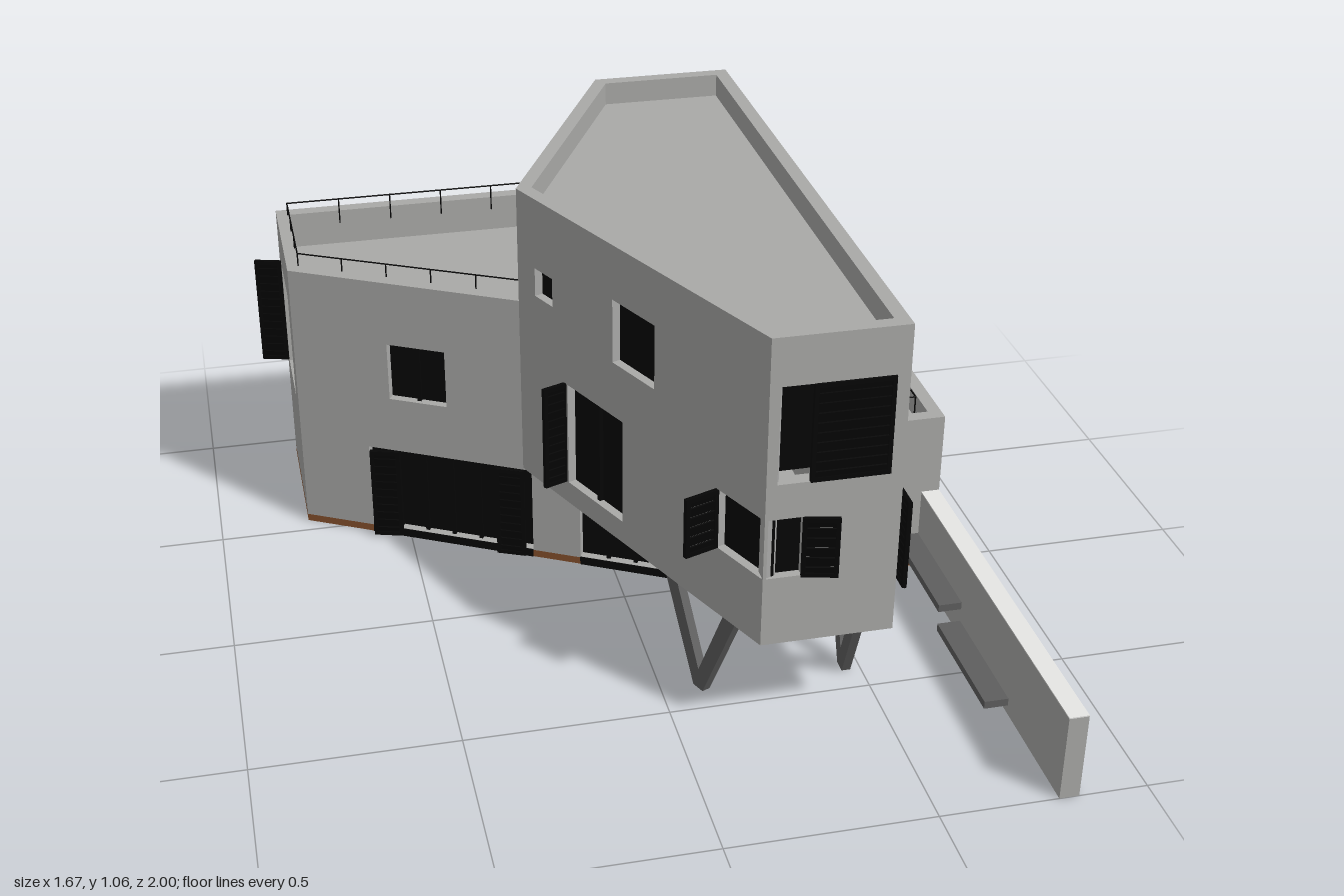
import * as THREE from 'three';

const mat = (name, color) => {
  const m = new THREE.MeshStandardMaterial({ color });
  m.name = name;
  return m;
};

export function createModel() {
  const root = new THREE.Group();
  root.name = 'house';
  const concrete = mat('concrete', 0xa9a9a7);
  const pale = mat('pale concrete', 0xe6e6e4);
  const steel = mat('grey steel', 0x5e5e5e);
  const black = mat('black', 0x050505);
  const brown = mat('brown floor', 0x85502c);
  const timber = mat('timber door', 0xa0592c);
  const T = 0.035; // wall thickness

  const add = (parent, name, geo, material, x = 0, y = 0, z = 0) => {
    const m = new THREE.Mesh(geo, material);
    m.name = name;
    m.position.set(x, y, z);
    parent.add(m);
    return m;
  };
  const box = (parent, name, material, w, h, d, x, y, z) =>
    add(parent, name, new THREE.BoxGeometry(w, h, d), material, x, y, z);
  const vecs = pts => pts.map(p => new THREE.Vector2(...p));

  // group whose local x runs from plan point a to b and local +z faces outward
  const along = (name, a, b) => {
    const g = new THREE.Group();
    g.name = name;
    g.position.set(a[0], 0, a[1]);
    g.rotation.y = Math.atan2(a[1] - b[1], b[0] - a[0]);
    root.add(g);
    return [g, Math.hypot(b[0] - a[0], b[1] - a[1])];
  };

  // straight wall with recessed openings [u0, u1, y0, y1, material, mullions, recess]
  const wall = (name, a, b, y0, y1, openings = []) => {
    const [g, len] = along(name, a, b);
    const s = new THREE.Shape(vecs([[0, y0], [len, y0], [len, y1], [0, y1]]));
    for (const [u0, u1, v0, v1, m = black, bars = 0, recess = 0.026] of openings) {
      s.holes.push(new THREE.Path(vecs([[u0, v0], [u0, v1], [u1, v1], [u1, v0]])));
      const w = u1 - u0, h = v1 - v0, uc = (u0 + u1) / 2, vc = (v0 + v1) / 2;
      box(g, 'pane', m, w + 0.01, h + 0.01, 0.008, uc, vc, -recess);
      for (let i = 1; i <= bars; i++)
        box(g, 'mullion', black, 0.01, h, 0.012, u0 + w * i / (bars + 1), vc, 0.009 - recess);
      // dark threshold across the floor edge under tall doors
      if (v0 < 0.03 && m === black) box(g, 'threshold', black, w, 0.022, 0.012, uc, 0.0115, -0.003);
    }
    add(g, name + 'Panel', new THREE.ExtrudeGeometry(s, { depth: T, bevelEnabled: false }), concrete, 0, 0, -T);
  };

  // horizontal slab from a plan outline
  const slab = (name, pts, y0, y1, material) => {
    const s = new THREE.Shape(vecs(pts.map(([x, z]) => [x, -z])));
    const geo = new THREE.ExtrudeGeometry(s, { depth: y1 - y0, bevelEnabled: false });
    add(root, name, geo.rotateX(-Math.PI / 2), material, 0, y0, 0);
  };

  // closed louvred shutter standing between two plan points
  const shutter = (name, a, b, y0, y1) => {
    const [g, len] = along(name, a, b);
    const h = y1 - y0, n = Math.round(h / 0.024);
    for (const u of [0.005, len - 0.005]) box(g, 'stile', black, 0.01, h, 0.012, u, y0 + h / 2, 0);
    for (const y of [y0 + 0.005, y1 - 0.005]) box(g, 'rail', black, len, 0.01, 0.012, len / 2, y, 0);
    for (let i = 0; i < n; i++)
      box(g, 'louvre', black, len, 0.026, 0.004, len / 2, y0 + h * (i + 0.5) / n, 0).rotation.x = 0.2;
  };

  // round bar between two points
  const bar = (name, a, b, r, material) => {
    const p = new THREE.Vector3(...a), q = new THREE.Vector3(...b), d = q.clone().sub(p);
    const m = add(root, name, new THREE.CylinderGeometry(r, r, d.length(), 6), material);
    m.position.copy(p.add(q).multiplyScalar(0.5));
    m.quaternion.setFromUnitVectors(new THREE.Vector3(0, 1, 0), d.normalize());
  };

  // plan corners
  const NW = [-0.765, -0.935], NE = [0.834, -0.935], SW = [-0.765, -0.55], SE = [0.834, 0.02];
  const tip = [-0.215, -0.25], towerNW = [0.125, -0.935], towerNE = [0.492, -0.935];
  const towerSE = [0.492, 0.645], towerSW = [0.175, 0.645], patio = [0.28, 0.02];

  // floors, terraces and roof
  slab('groundFloor', [NW, [0.8, -0.935], [0.8, 0.02], patio, SW], 0, 0.02, brown);
  slab('towerSoffit', [tip, towerSW, towerSE, towerNE, towerNW], 0.27, 0.29, concrete);
  slab('towerRoof', [[-0.211, -0.25], [0.178, 0.64], [0.486, 0.64], [0.486, -0.93], [0.128, -0.93]], 0.98, 1.0, concrete);
  slab('leftTerrace', [[-0.76, -0.93], [0.12, -0.92], [-0.215, -0.26], [-0.76, -0.555]], 0.64, 0.66, concrete);
  slab('rightTerrace', [[0.48, -0.93], [0.827, -0.93], [0.827, 0.015], [0.48, 0.015]], 0.36, 0.38, concrete);

  // ground storey
  wall('backWall', NE, NW, 0.02, 0.3, [
    [0.14, 0.21, 0.19, 0.275], [0.27, 0.38, 0.023, 0.27, timber],
    [0.59, 0.82, 0.023, 0.265, black, 3], [1.08, 1.405, 0.023, 0.265, black, 3]]);
  wall('frontGroundWall', SW, patio, 0.02, 0.267, [
    [0.194, 0.649, 0.023, 0.265, black, 5], [0.78, 1.15, 0.023, 0.265, black, 4]]);
  wall('patioWall', patio, SE, 0.02, 0.27, [
    [0.122, 0.335, 0.023, 0.265, black, 2], [0.34, 0.4, 0.19, 0.265]]);

  // left wing
  wall('leftWall', NW, SW, 0.02, 0.756, [[0.065, 0.275, 0.33, 0.63, black, 0, 0.07]]);
  wall('leftFrontWall', SW, tip, 0.267, 0.756, [[0.262, 0.42, 0.42, 0.58, black, 1]]);
  wall('leftBackWall', towerNW, NW, 0.3, 0.756);

  // right wing
  wall('rightWall', SE, NE, 0, 0.445);
  wall('rightFrontWall', [0.492, 0.02], SE, 0.27, 0.445);
  wall('rightBackWall', NE, towerNE, 0.3, 0.445);

  // tower
  wall('towerBackWall', towerNE, towerNW, 0.3, 1.06);
  wall('towerTerraceWall', towerNW, tip, 0.64, 1.06, [[0.14, 0.28, 0.662, 0.9]]);
  wall('towerSlantWall', tip, towerSW, 0.27, 1.06, [
    [0.075, 0.15, 0.8, 0.875], [0.21, 0.44, 0.33, 0.61, black, 1],
    [0.40, 0.565, 0.755, 0.92], [0.81, 0.972, 0.45, 0.605]]);
  wall('towerFrontWall', towerSW, towerSE, 0.27, 1.06, [
    [0.008, 0.09, 0.45, 0.605], [0.025, 0.285, 0.695, 0.94, black, 0, 0.07]]);
  wall('towerRightWall', towerSE, towerNE, 0.27, 1.06, [
    [0.46, 0.595, 0.44, 0.58], [0.755, 0.83, 0.785, 0.86], [1.31, 1.47, 0.69, 0.875],
    [1.275, 1.4, 0.382, 0.585], [1.435, 1.51, 0.51, 0.585]]);
  // tapered sills on the right
  for (const [wide, narrow, y] of [[0.04, 0.175, 0.44], [-0.83, -0.67, 0.69]])
    slab('windowSill', [[0.488, wide], [0.52, wide], [0.498, narrow], [0.488, narrow]], y - 0.004, y + 0.002, black);

  // open shutters and door leaves
  shutter('leftShutter', [-0.835, -0.9], [-0.765, -0.88], 0.33, 0.63);
  shutter('backShutter', [-0.26, -0.945], [-0.19, -0.99], 0.005, 0.265);
  shutter('slantShutter', [-0.195, -0.045], [-0.13, -0.07], 0.33, 0.61);
  shutter('cornerShutter', [0.025, 0.52], [0.108, 0.49], 0.45, 0.605);
  shutter('frontCasement', [0.262, 0.648], [0.345, 0.668], 0.45, 0.605);
  shutter('upperFrontShutter', [0.275, 0.645], [0.46, 0.645], 0.695, 0.94);
  shutter('frontDoorLeafA', [-0.595, -0.435], [-0.52, -0.412], 0.005, 0.265);
  shutter('frontDoorLeafB', [-0.285, -0.275], [-0.215, -0.243], 0.005, 0.265);
  shutter('patioDoorLeaf', [0.718, 0.025], [0.718, 0.125], 0.005, 0.265);
  box(root, 'patioLintel', black, 0.44, 0.008, 0.01, 0.5, 0.264, 0.0165);

  // flat V-shaped supports under the overhang
  const vee = (x, z, dx, dz, r) => {
    const [g] = along('supportLegs', [x, z], [x + dx, z + dz]);
    const s = new THREE.Shape(vecs([[-r, 0.275], [-0.018, 0], [0.018, 0], [r, 0.275],
      [r - 0.045, 0.275], [0, 0.055], [0.045 - r, 0.275]]));
    add(g, 'veeSupport', new THREE.ExtrudeGeometry(s, { depth: 0.022, bevelEnabled: false }), steel, 0, 0, -0.011);
  };
  vee(0.1, 0.415, 0.39, 0.9, 0.14);
  vee(0.463, 0.41, 0, 1, 0.13);

  // garden wall and stepped benches
  box(root, 'gardenWall', concrete, 0.048, 0.224, 0.98, 0.81, 0.112, 0.51);
  box(root, 'gardenWallCap', pale, 0.048, 0.003, 0.98, 0.81, 0.2255, 0.51);
  box(root, 'upperBench', steel, 0.06, 0.02, 0.33, 0.755, 0.09, 0.185);
  box(root, 'lowerBench', steel, 0.06, 0.02, 0.33, 0.755, 0.035, 0.515);

  // terrace railings
  const railing = (pts, y0, y1) => {
    for (let i = 0; i + 1 < pts.length; i++) {
      const [a, b] = [pts[i], pts[i + 1]];
      bar('handrail', [a[0], y1, a[1]], [b[0], y1, b[1]], 0.002, black);
      const n = Math.max(1, Math.round(Math.hypot(b[0] - a[0], b[1] - a[1]) / 0.13));
      for (let k = 0; k <= n; k++) {
        const x = a[0] + (b[0] - a[0]) * k / n, z = a[1] + (b[1] - a[1]) * k / n;
        bar('railPost', [x, y0, z], [x, y1, z], 0.002, black);
      }
    }
  };
  railing([[0.1, -0.9], [-0.735, -0.9], [-0.735, -0.575], [-0.2, -0.295]], 0.72, 0.79);
  railing([[0.5, -0.87], [0.775, -0.87], [0.775, -0.045], [0.5, -0.045]], 0.4, 0.475);

  return root;
}
